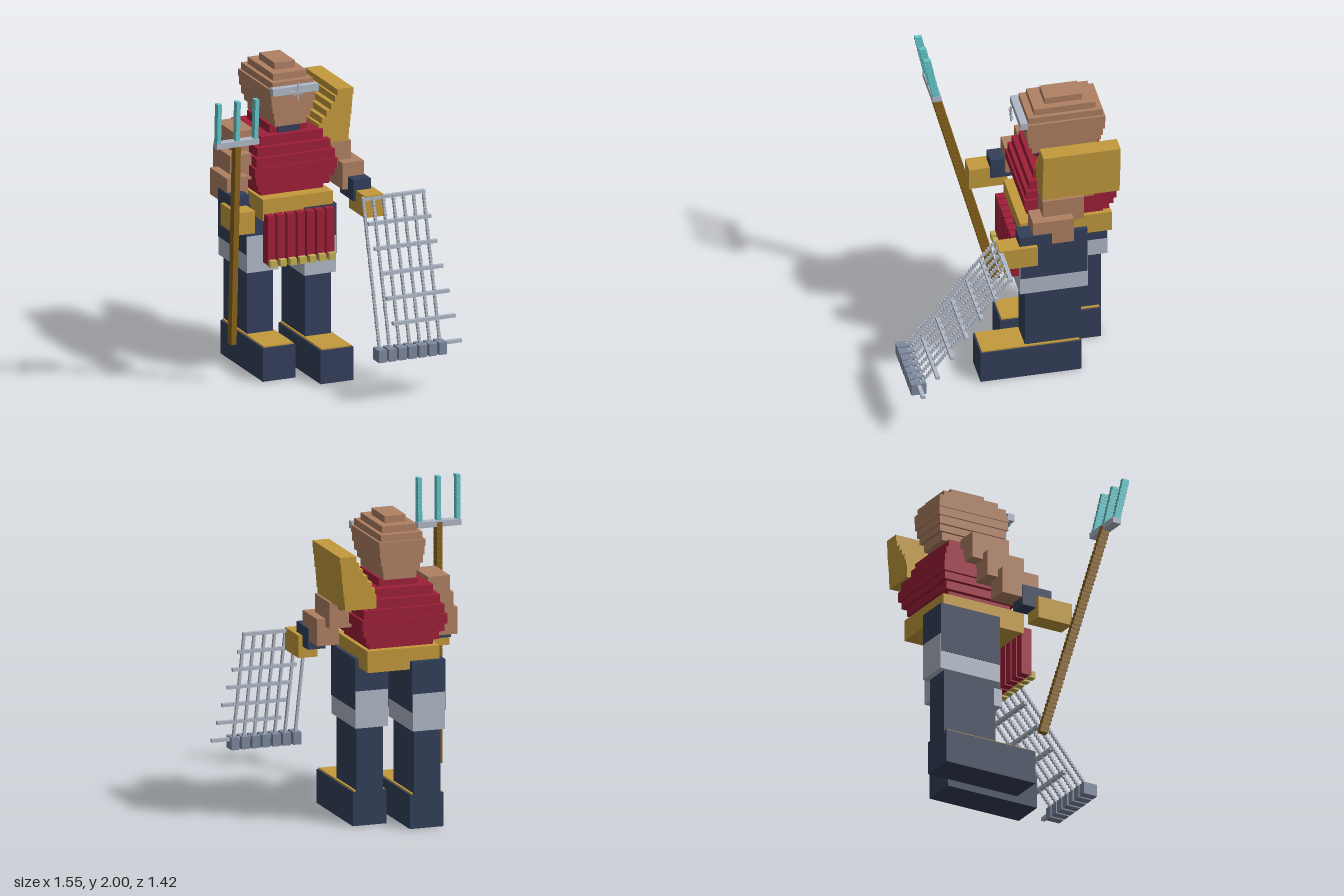
import * as THREE from 'three';

export function createModel() {
  const root = new THREE.Group();
  root.name = 'gladiator';

  const mat = (name, color) => {
    const m = new THREE.MeshStandardMaterial({ color });
    m.name = name;
    return m;
  };
  const skin = mat('skin', 0xb08062);
  const red = mat('crimson cloth', 0x9e1f38);
  const gold = mat('gold', 0xc39a3c);
  const paleGold = mat('pale gold', 0xc2b055);
  const navy = mat('navy', 0x333f5a);
  const silver = mat('silver', 0xb0b9c8);
  const steel = mat('steel', 0x7d899f);
  const wood = mat('wood', 0x87621b);
  const teal = mat('teal', 0x66c8cc);

  const part = (name) => {
    const g = new THREE.Group();
    g.name = name;
    root.add(g);
    return g;
  };

  // Box given by its minimum and maximum on each axis
  const box = (parent, name, m, x0, x1, y0, y1, z0, z1) => {
    const mesh = new THREE.Mesh(new THREE.BoxGeometry(x1 - x0, y1 - y0, z1 - z0), m);
    mesh.position.set((x0 + x1) / 2, (y0 + y1) / 2, (z0 + z1) / 2);
    mesh.name = name;
    parent.add(mesh);
    return mesh;
  };

  // Slanted bar made of a staircase of upright boxes
  const steppedBar = (parent, name, m, from, to, steps, w, d) => {
    const g = new THREE.Group();
    g.name = name;
    parent.add(g);
    const a = new THREE.Vector3(...from), b = new THREE.Vector3(...to);
    const h = (b.y - a.y) / steps;
    for (let i = 0; i < steps; i++) {
      const p = a.clone().lerp(b, (i + 0.5) / steps);
      box(g, 'step', m, p.x - w / 2, p.x + w / 2, p.y - h / 2, p.y + h / 2, p.z - d / 2, p.z + d / 2);
    }
  };

  // Stack of centred slabs: [y0, y1, half width, half depth]
  const CX = -0.022, CZ = -0.4;
  const stack = (parent, name, m, rows) => rows.forEach(([y0, y1, hx, hz]) =>
    box(parent, name, m, CX - hx, CX + hx, y0, y1, CZ - hz, CZ + hz));

  // Legs: the right one is set further back
  [['left', 0.02, 0], ['right', -0.29, -0.195]].forEach(([side, x, dz]) => {
    const g = part(side + 'Leg');
    box(g, 'boot', navy, x, x + 0.225, 0, 0.22, dz - 0.475, dz + 0.175);
    box(g, 'bootTop', gold, x + 0.01, x + 0.215, 0.22, 0.229, dz - 0.465, dz + 0.165);
    box(g, 'shin', navy, x + 0.022, x + 0.2, 0.2, 0.65, dz - 0.478, dz - 0.115);
    box(g, 'kneeGuard', silver, x + 0.004, x + 0.221, 0.64, 0.88, dz - 0.516, dz - 0.08);
    box(g, 'thigh', navy, x, x + 0.225, 0.76, 1.09, dz - 0.513, dz - 0.083);
  });

  // Torso and belt
  const torso = part('torso');
  box(torso, 'belt', gold, -0.26, 0.22, 1.035, 1.175, -0.675, -0.085);
  stack(torso, 'tunicLayer', red, [
    [1.17, 1.21, 0.215, 0.225], [1.21, 1.265, 0.245, 0.255], [1.265, 1.315, 0.27, 0.28],
    [1.315, 1.38, 0.285, 0.295], [1.38, 1.44, 0.27, 0.283], [1.44, 1.5, 0.25, 0.26],
    [1.5, 1.56, 0.215, 0.225], [1.56, 1.615, 0.13, 0.17],
  ]);
  box(torso, 'neckGuard', navy, -0.1, 0.052, 1.555, 1.612, -0.5, -0.215);

  // Pleated skirt with tips
  const skirt = part('skirt');
  for (let i = 0; i < 7; i++) {
    const x = -0.225 + i * 0.0675;
    box(skirt, 'skirtStrip', red, x - 0.027, x + 0.027, 0.76, 1.08, -0.1, -0.028);
    box(skirt, 'skirtTip', paleGold, x - 0.023, x + 0.023, 0.75, 0.795, -0.04, 0.006);
  }

  // Head, headband and star
  const head = part('head');
  stack(head, 'headLayer', skin, [
    [1.61, 1.665, 0.11, 0.21], [1.665, 1.71, 0.125, 0.232], [1.71, 1.765, 0.14, 0.242],
    [1.765, 1.82, 0.15, 0.25], [1.82, 1.865, 0.155, 0.253], [1.865, 1.91, 0.14, 0.24],
    [1.91, 1.955, 0.115, 0.197], [1.955, 2, 0.07, 0.12],
  ]);
  box(head, 'headband', silver, -0.18, 0.134, 1.838, 1.885, -0.155, -0.108);
  for (let i = 0; i < 4; i++) {
    const r = i % 2 ? 0.04 : 0.057;
    const ray = box(head, 'starRay', silver, -r, r, -0.004, 0.004, -0.005, 0.005);
    ray.position.set(CX, 1.862, -0.08);
    ray.rotation.z = i * Math.PI / 4;
  }

  // Arms, mirrored about the body centre; boxes step down and forward
  [1, -1].forEach((s) => {
    const g = part(s > 0 ? 'leftArm' : 'rightArm');
    [
      ['shoulder', skin, 0.215, 0.361, 1.412, 1.585, -0.535, -0.27],
      ['upperArm', skin, 0.27, 0.416, 1.285, 1.455, -0.457, -0.192],
      ['forearm', skin, 0.325, 0.471, 1.16, 1.335, -0.38, -0.118],
      ['wrist', navy, 0.36, 0.479, 1.105, 1.243, -0.238, -0.028],
      ['hand', gold, 0.377, 0.505, 1.03, 1.175, -0.14, 0.105],
    ].forEach(([name, m, x0, x1, ...r]) =>
      box(g, name, m, ...(s > 0 ? [CX + x0, CX + x1] : [CX - x1, CX - x0]), ...r));
  });

  // Shoulder guard: slabs leaning outwards
  const guard = part('shoulderGuard');
  [0.165, 0.165, 0.175, 0.195, 0.225, 0.255, 0.285, 0.3].forEach((x, i) => {
    const y = 1.453 + i * 0.0434;
    box(guard, 'guardSlab', gold, x, 0.377 + i * 0.0047, y, y + 0.0434, -0.69, -0.193);
  });

  // Trident
  const trident = part('trident');
  steppedBar(trident, 'shaft', wood, [-0.475, 0.26, -0.08], [-0.615, 1.72, 0.3], 50, 0.036, 0.058);
  box(trident, 'crossbar', silver, -0.76, -0.47, 1.69, 1.728, 0.268, 0.327);
  [-0.745, -0.615, -0.488].forEach((x) =>
    steppedBar(trident, 'prong', teal, [x, 1.728, 0.3], [x - 0.018, 2, 0.355], 12, 0.027, 0.046));

  // Net: slanted cords, crossing bars and weights
  const net = part('net');
  for (let i = 0; i < 7; i++) {
    const t = i / 6, x = 0.345 + i * 0.069;
    steppedBar(net, 'cord', silver, [x - 0.135, 0.325, 0.66], [x, 1.165, 0.098], 44, 0.016, 0.02);
    const y = 1.155 - t * 0.82, z = 0.095 + t * 0.565;
    box(net, 'netBar', silver, 0.34, 0.77, y - 0.011, y + 0.011, z - 0.013, z + 0.013);
    box(net, 'weight', steel, x - 0.162, x - 0.108, 0.272, 0.352, 0.613, 0.71);
  }

  return root;
}
